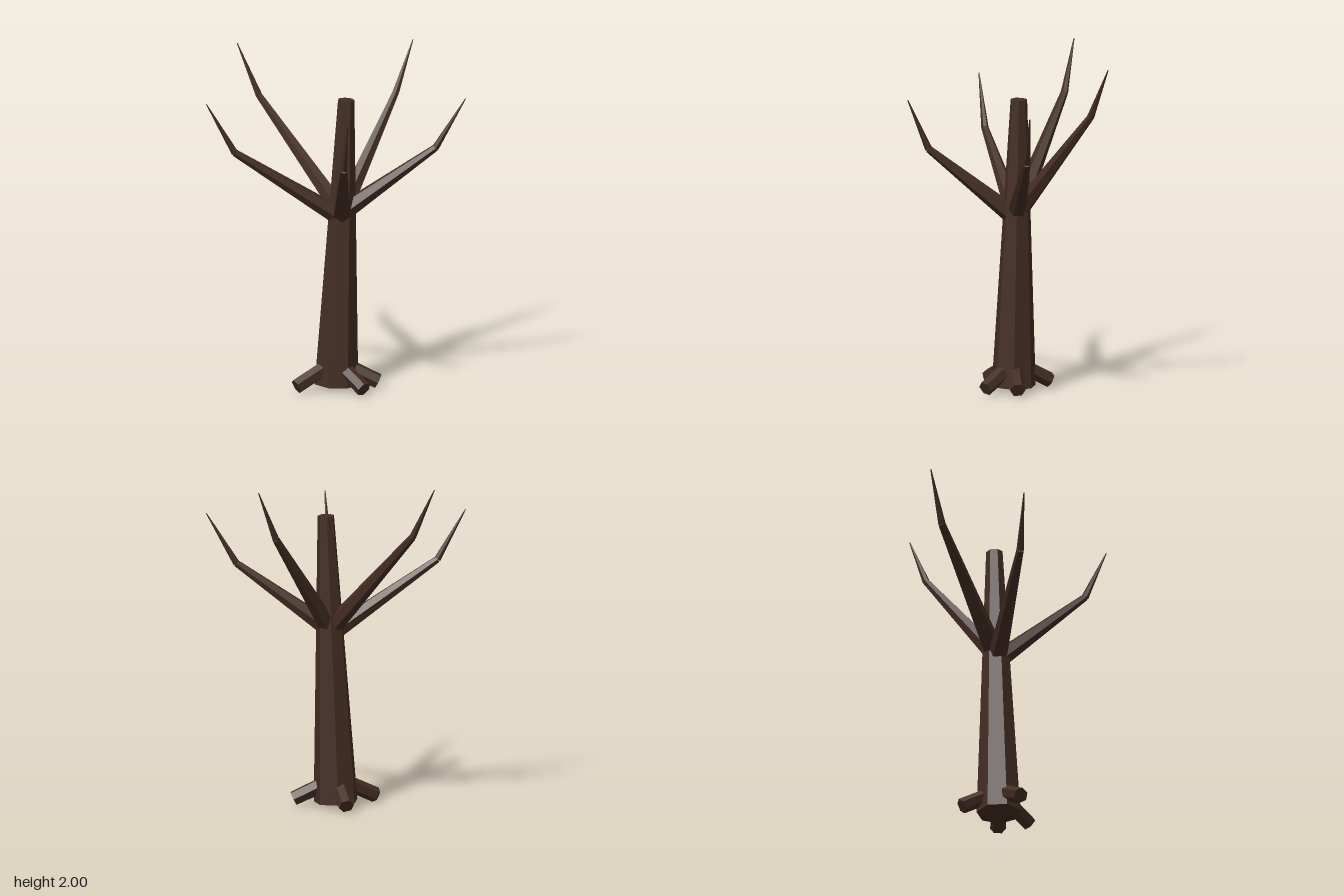
import * as THREE from 'three';

const V = (x, y, z) => new THREE.Vector3(x, y, z);

export function createModel() {
  const tree = new THREE.Group();
  tree.name = 'bareTree';
  const bark = new THREE.MeshStandardMaterial({ color: 0x432d23, flatShading: true });
  bark.name = 'dark brown bark';

  // Tapered faceted limb between two points
  function limb(name, from, to, r0, r1, sides, parent = tree) {
    const dir = to.clone().sub(from);
    const mesh = new THREE.Mesh(new THREE.CylinderGeometry(r1, r0, dir.length(), sides), bark);
    mesh.position.copy(from).addScaledVector(dir, 0.5);
    mesh.quaternion.setFromUnitVectors(V(0, 1, 0), dir.normalize());
    mesh.name = name;
    parent.add(mesh);
    return mesh;
  }

  // Leaning trunk
  limb('trunk', V(0, 0.03, -0.067), V(0.06, 1.76, -0.09), 0.133, 0.05, 7)
    .geometry.rotateY(-20 * Math.PI / 180);

  // Branches: thick lower limb, then a steeper pointed twig
  const branches = [
    ['rightBranch', V(-0.6, 1.47, 0.03), V(-0.767, 1.77, 0.045), 1.04],
    ['leftBranch', V(0.59, 1.47, -0.07), V(0.767, 1.77, -0.067), 1.07],
    ['frontBranch', V(0.04, 1.47, 0.445), V(0.06, 1.77, 0.572), 1.04],
    ['backLeftBranch', V(0.36, 1.7, -0.48), V(0.463, 2, -0.572), 1.07],
    ['backRightBranch', V(-0.45, 1.7, -0.425), V(-0.578, 2, -0.498), 1.07],
  ];
  for (const [name, elbow, tip, y] of branches) {
    const branch = new THREE.Group();
    branch.name = name;
    limb(name + 'Lower', V(0.035, y, -0.08), elbow, 0.058, 0.022, 6, branch);
    limb(name + 'Twig', elbow, tip, 0.022, 0.003, 6, branch);
    tree.add(branch);
  }

  // Stubby roots
  const roots = [
    ['leftRoot', V(0.25, 0.045, -0.06)],
    ['frontLeftRoot', V(0.163, 0.042, 0.122)],
    ['rightRoot', V(-0.235, 0.042, 0.052)],
    ['backRoot', V(-0.06, 0.045, -0.29)],
  ];
  for (const [name, end] of roots) limb(name, V(0, 0.17, -0.067), end, 0.046, 0.046, 6);

  return tree;
}
